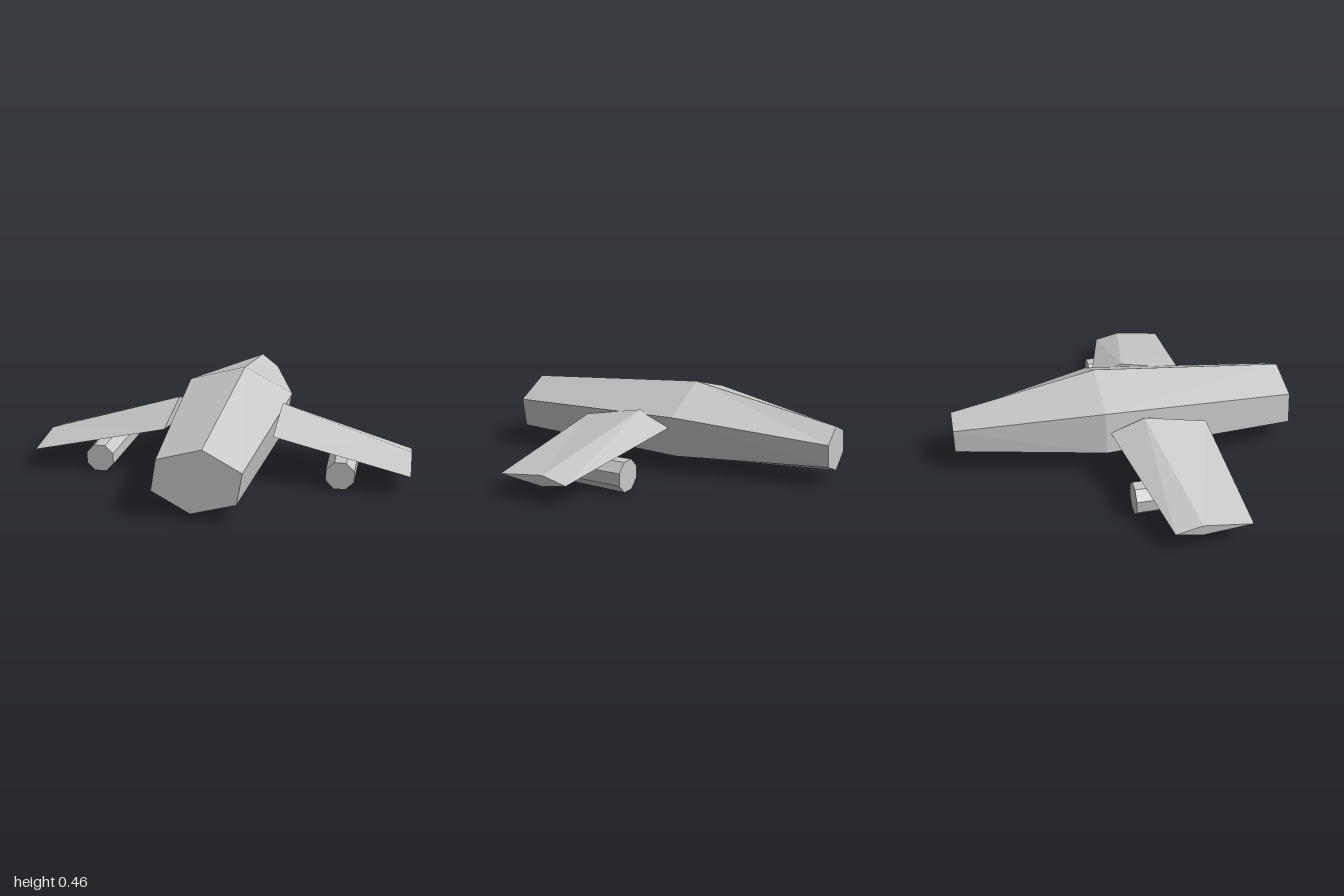
import * as THREE from 'three';

const hullGrey = new THREE.MeshStandardMaterial({ color: 0xc8c8c8 });
hullGrey.name = 'hullGrey';

// Flat-shaded closed loft through rings of [x, y, z] points.
// otherDiagonal(k) picks how the quads of segment k are split; mirror reflects in x.
function loft(rings, otherDiagonal = () => false, mirror = false) {
  const positions = [];
  const tri = (a, b, c) => {
    const corners = mirror ? [a, c, b] : [a, b, c];
    for (const [x, y, z] of corners) positions.push(mirror ? -x : x, y, z);
  };
  const n = rings[0].length;
  for (let k = 0; k < rings.length - 1; k++) {
    for (let i = 0; i < n; i++) {
      const j = (i + 1) % n;
      const [a, b] = [rings[k], rings[k + 1]];
      if (otherDiagonal(k)) {
        tri(a[i], a[j], b[j]);
        tri(a[i], b[j], b[i]);
      } else {
        tri(a[i], a[j], b[i]);
        tri(a[j], b[j], b[i]);
      }
    }
  }
  // End caps
  const first = rings[0], last = rings[rings.length - 1];
  for (let i = 1; i < n - 1; i++) {
    tri(first[0], first[i + 1], first[i]);
    tri(last[0], last[i], last[i + 1]);
  }
  const geometry = new THREE.BufferGeometry();
  geometry.setAttribute('position', new THREE.Float32BufferAttribute(positions, 3));
  geometry.computeVertexNormals();
  return geometry;
}

function part(name, geometry, parent) {
  const mesh = new THREE.Mesh(geometry, hullGrey);
  mesh.name = name;
  parent.add(mesh);
  return mesh;
}

// Slightly rolled hexagon, scaled for each fuselage station
const HEXAGON = [
  [0.315, 0.085], [0.043, 0.228], [-0.275, 0.138],
  [-0.315, -0.085], [-0.043, -0.228], [0.275, -0.138],
];
const hexRing = (z, y, sx, sy) => HEXAGON.map(([hx, hy]) => [hx * sx, y + hy * sy, z]);

// Wing sections run: leading edge, underside, trailing edge, ridge
const WING_ROOT = [[0.29, 0.265, 0.42], [0.29, 0.205, 0.075], [0.29, 0.26, -0.108], [0.29, 0.333, 0.075]];
const WING_TIP = [[1, 0.115, 0.462], [1, 0.09, 0.203], [1, 0.115, 0.063], [1, 0.148, 0.203]];

// Octagonal nacelle lying along z, slightly narrower at the front
function engineGeometry() {
  const toCorner = 1 / Math.cos(Math.PI / 8);
  const geometry = new THREE.CylinderGeometry(0.073 * toCorner, 0.08 * toCorner, 0.51, 8)
    .rotateY(Math.PI / 8)
    .rotateX(Math.PI / 2)
    .toNonIndexed();
  geometry.computeVertexNormals();
  return geometry;
}

export function createModel() {
  const plane = new THREE.Group();
  plane.name = 'aircraft';

  // Fuselage: tail, widest station, nose
  part('fuselage', loft([
    hexRing(-0.933, 0.188, 0.365, 0.54),
    hexRing(-0.133, 0.236, 1, 1),
    hexRing(0.933, 0.208, 0.71, 0.735),
  ], (k) => k === 0), plane);

  // Drooping wings with an engine under each
  for (const [side, sign] of [['left', 1], ['right', -1]]) {
    part(`${side}Wing`, loft([WING_ROOT, WING_TIP], undefined, sign < 0), plane);
    part(`${side}Engine`, engineGeometry(), plane).position.set(0.643 * sign, 0.085, 0.19);
  }
  return plane;
}
